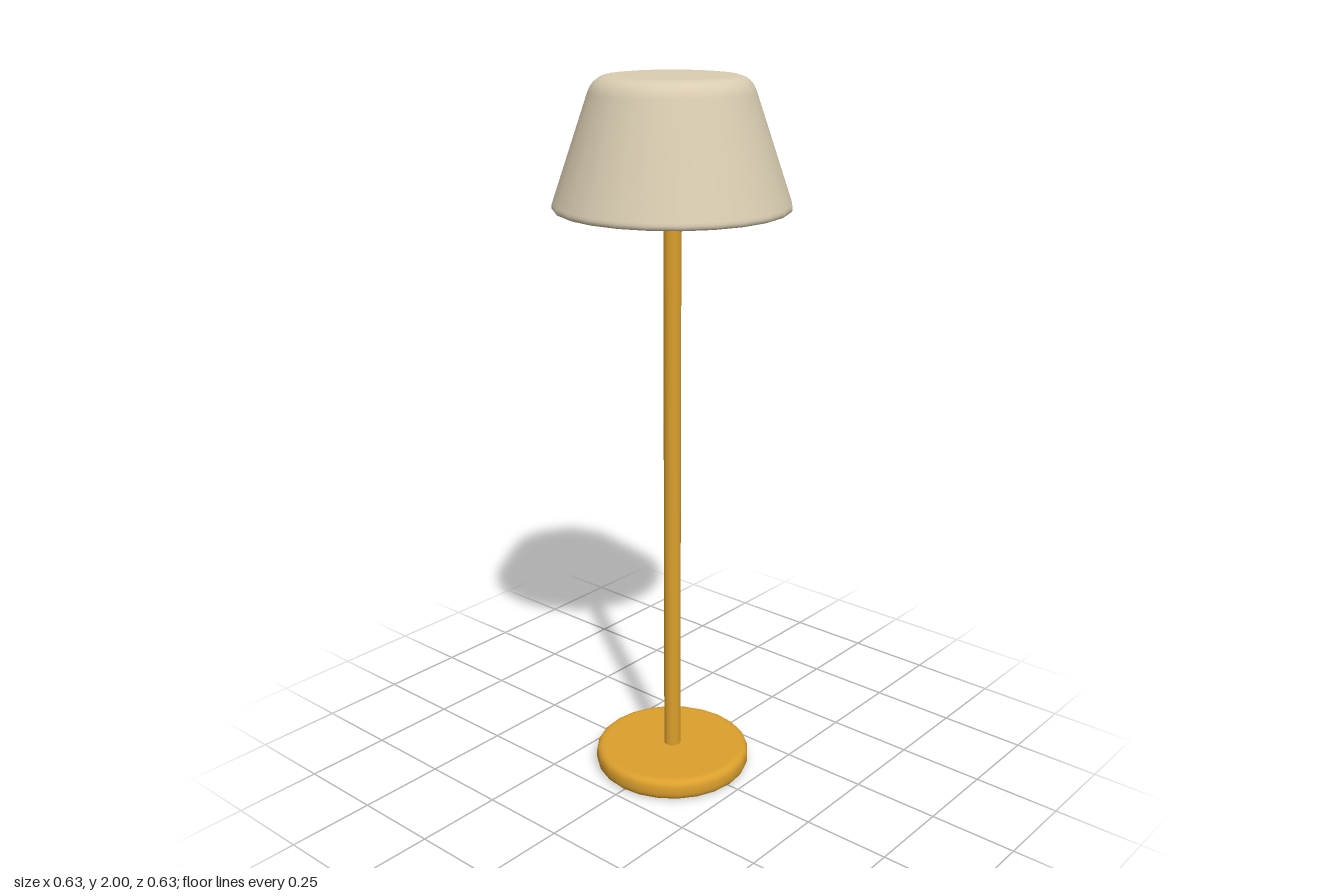
import * as THREE from 'three';

const SEGMENTS = 24;

// Solid of revolution whose outer corners are rounded: corner = [radius, y, rounding]
function roundedLathe(corners) {
  const p = corners.map(([r, y]) => new THREE.Vector2(r, y));
  const first = new THREE.Vector2(0, p[0].y);
  const last = new THREE.Vector2(0, p[p.length - 1].y);
  const points = [first];
  corners.forEach(([, , round], i) => {
    const toward = (q) => p[i].clone().add(q.clone().sub(p[i]).setLength(round));
    const start = toward(i ? p[i - 1] : first);
    const end = toward(i < p.length - 1 ? p[i + 1] : last);
    points.push(...new THREE.QuadraticBezierCurve(start, p[i], end).getPoints(5));
  });
  points.push(last);
  return new THREE.LatheGeometry(points, SEGMENTS);
}

export function createModel() {
  const brass = new THREE.MeshStandardMaterial({ color: 0xdb9f2c });
  brass.name = 'brass';
  const cream = new THREE.MeshStandardMaterial({ color: 0xd9ccb1 });
  cream.name = 'cream';

  const lamp = new THREE.Group();
  lamp.name = 'floorLamp';
  const add = (name, geometry, material, y = 0) => {
    const mesh = new THREE.Mesh(geometry, material);
    mesh.name = name;
    mesh.position.y = y;
    lamp.add(mesh);
  };

  // Flat round foot
  add('base', roundedLathe([[0.226, 0, 0.026], [0.226, 0.062, 0.026]]), brass);

  // Slim pole running up into the shade
  add('pole', new THREE.CylinderGeometry(0.024, 0.024, 1.63, SEGMENTS), brass, 0.865);

  // Closed tapered shade with soft rims
  add('shade', roundedLathe([[0.322, 1.655, 0.022], [0.203, 2, 0.045]]), cream);

  return lamp;
}
